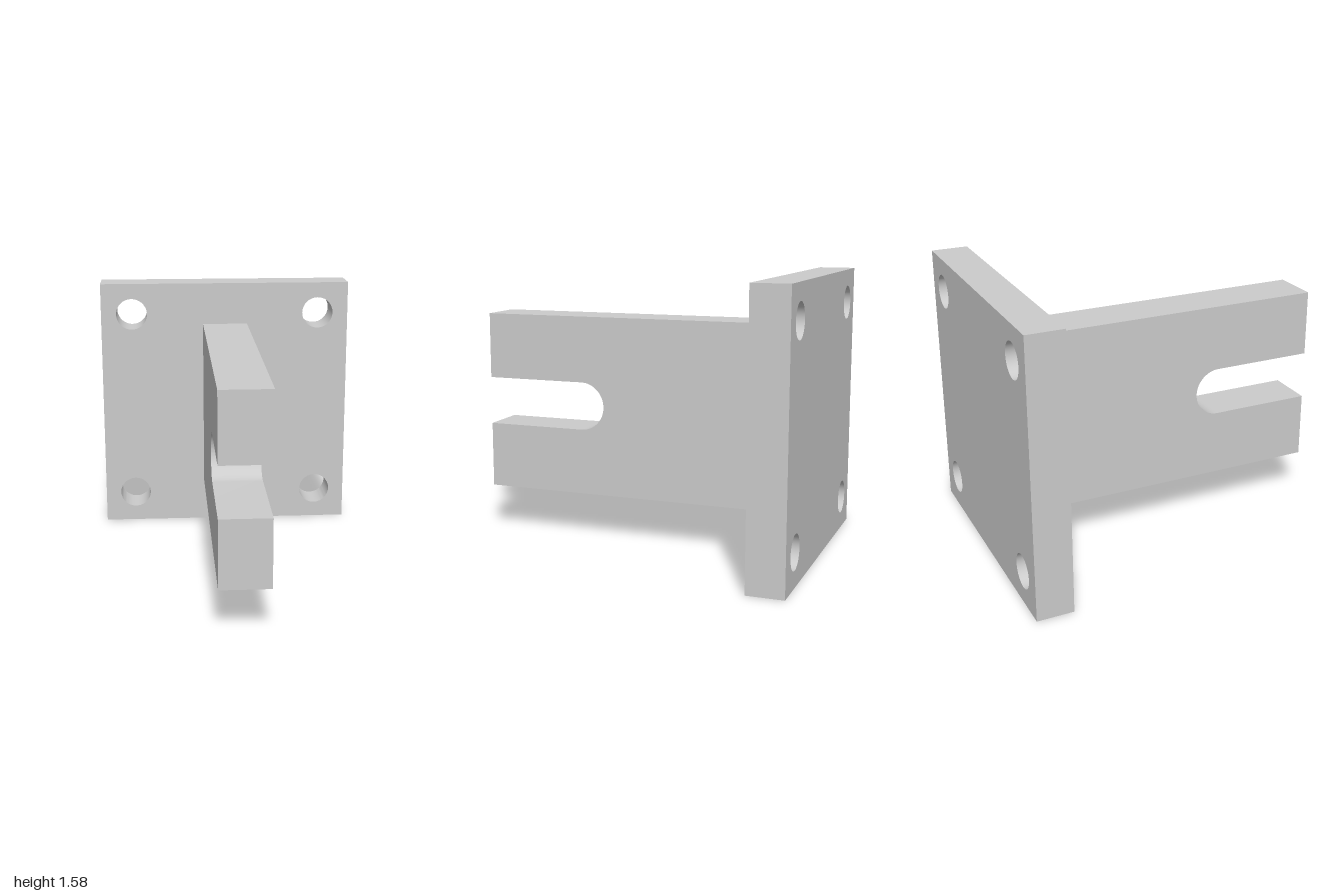
import * as THREE from 'three';
import { toCreasedNormals } from 'three/addons/utils/BufferGeometryUtils.js';

const material = new THREE.MeshStandardMaterial({ color: 0xcccccc });
const MID = 0.79; // height of the horizontal centre line

// Extrude a shape along z, centred on z = 0, keeping round walls smooth
function slab(shape, depth) {
  const geometry = new THREE.ExtrudeGeometry(shape, { depth, bevelEnabled: false, curveSegments: 32 });
  geometry.translate(0, 0, -depth / 2);
  return toCreasedNormals(geometry, Math.PI / 6);
}

function addPart(group, name, geometry) {
  const mesh = new THREE.Mesh(geometry, material);
  mesh.name = name;
  group.add(mesh);
  return mesh;
}

export function createModel() {
  const group = new THREE.Group();
  group.name = 'slottedBracket';

  // Square mounting plate with a bolt hole near each corner
  const half = 0.79, holeOffset = 0.596, holeRadius = 0.098;
  const plate = new THREE.Shape([
    new THREE.Vector2(-half, -half), new THREE.Vector2(half, -half),
    new THREE.Vector2(half, half), new THREE.Vector2(-half, half),
  ]);
  for (const sx of [-1, 1]) {
    for (const sy of [-1, 1]) {
      const hole = new THREE.Path();
      hole.absarc(sx * holeOffset, sy * holeOffset, holeRadius, 0, Math.PI * 2, true);
      plate.holes.push(hole);
    }
  }
  addPart(group, 'mountingPlate', slab(plate, 0.21)).position.set(0, MID, -0.895);

  // Arm side profile (x of the shape becomes z), with a round-ended slot open at the front
  const armHalf = 0.527, slotRadius = 0.141, slotCentre = 0.405;
  const arm = new THREE.Shape();
  arm.moveTo(-0.79, -armHalf);
  arm.lineTo(1, -armHalf);
  arm.lineTo(1, -slotRadius);
  arm.lineTo(slotCentre, -slotRadius);
  arm.absarc(slotCentre, 0, slotRadius, Math.PI * 1.5, Math.PI / 2, true);
  arm.lineTo(1, slotRadius);
  arm.lineTo(1, armHalf);
  arm.lineTo(-0.79, armHalf);
  arm.closePath();
  const armMesh = addPart(group, 'slottedArm', slab(arm, 0.282));
  armMesh.rotation.y = -Math.PI / 2;
  armMesh.position.y = MID + 0.002;

  return group;
}
